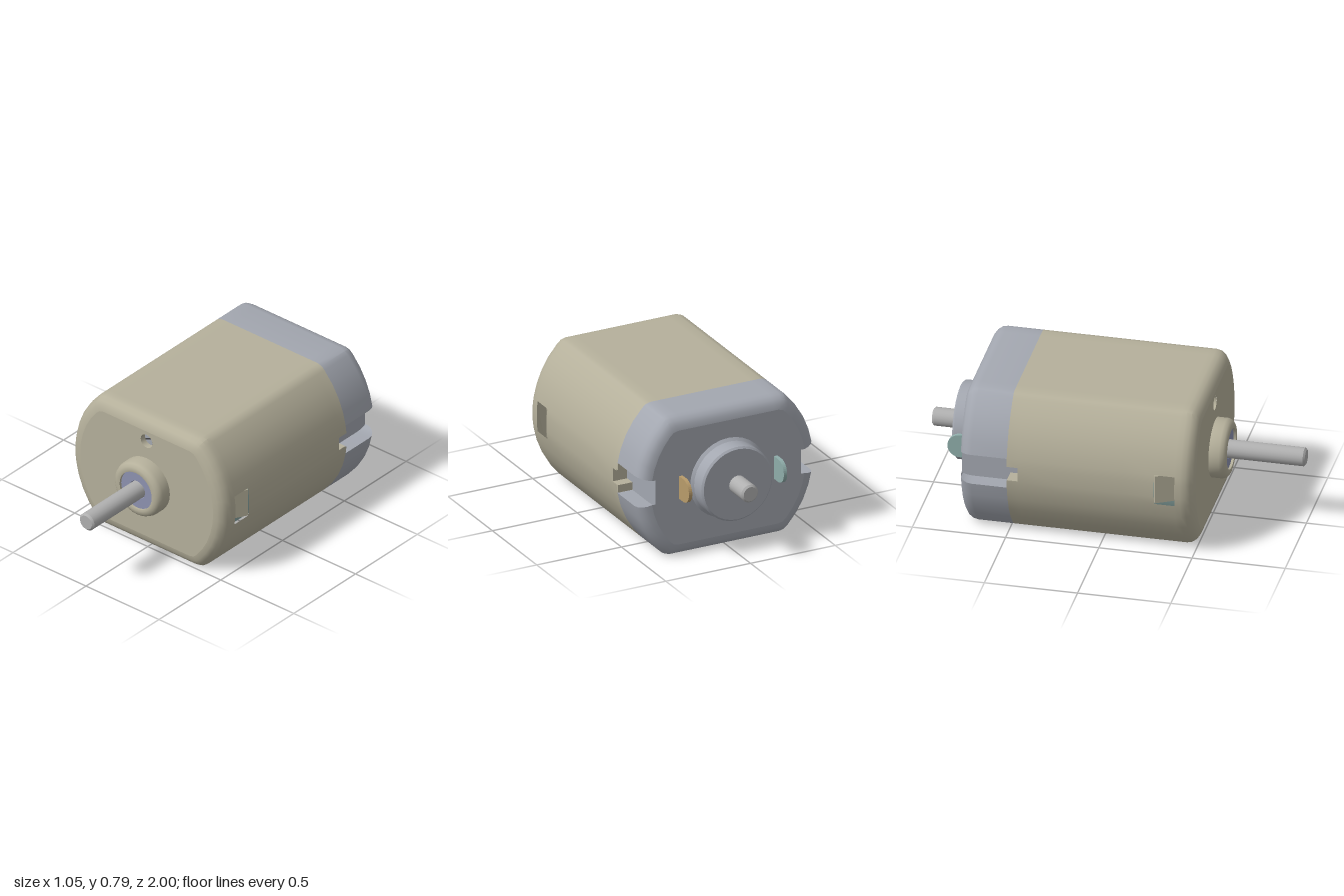
import * as THREE from 'three';
import { toCreasedNormals } from 'three/addons/utils/BufferGeometryUtils.js';

const R = 0.525, H = 0.395, EDGE = 0.07, FLOOR = 0.43;
const mat = (color) => new THREE.MeshStandardMaterial({ color, side: THREE.DoubleSide });
const TAN = mat(0xb5b09b), GREY = mat(0xa3a7b0), STEEL = mat(0xb0b0b0), BUSH = mat(0x8d92b0);
const BRASS = mat(0xb89b6a), TEAL = mat(0x8fadaa), COPPER = mat(0x9a6a50);

// Flat-sided round outline, inset by d; optionally with a notch in each side
const ARC = [-1, -0.8, -0.6, -0.4, -0.21, -0.21, -0.1, 0.1, 0.21, 0.21, 0.4, 0.6, 0.8, 1];
function profile(d, notch) {
  const r = R - d, h = H - d, a = Math.asin((h - 0.025) / r), x = r * Math.cos(a);
  const flat = [[0.1, h], [0.27, h], [x - 0.047, h], [x - 0.02, h - 0.007]];
  const arc = ARC.map((f, i) => {
    const px = r * Math.cos(f * a);
    return [notch && i > 4 && i < 9 ? Math.min(px, FLOOR) : px, r * Math.sin(f * a)];
  });
  const half = [...flat.map(([px, py]) => [px, -py]), ...arc, ...flat.slice().reverse()];
  return [...half, ...half.slice().reverse().map(([px, py]) => [-px, py])];
}

// Skin over rings of [inset, z], from back to front; skip(side, z) leaves openings
function loft(rings, notch, skip) {
  const pos = [], index = [];
  const n = profile(0).length;
  rings.forEach(([d, z]) => profile(d, notch).forEach(([x, y]) => pos.push(x, y, z)));
  for (let i = 0; i < rings.length - 1; i++) {
    for (let j = 0; j < n; j++) {
      const side = j < n / 2 ? j : n - 2 - j;
      if (skip && skip(side, (rings[i][1] + rings[i + 1][1]) / 2)) continue;
      const k = (j + 1) % n, a = i * n, b = a + n;
      index.push(a + j, a + k, b + k, a + j, b + k, b + j);
    }
  }
  const g = new THREE.BufferGeometry();
  g.setAttribute('position', new THREE.Float32BufferAttribute(pos, 3));
  g.setIndex(index);
  return toCreasedNormals(g, 0.5);
}

// Turned part along z from [radius, z] points
function turned(points, sides = 32) {
  const g = new THREE.LatheGeometry(points.map(([r, z]) => new THREE.Vector2(r, z)), sides);
  return toCreasedNormals(g.rotateX(Math.PI / 2), 0.6);
}

function endFace(notch, holes = []) {
  const s = new THREE.Shape(profile(EDGE, notch).map(([x, y]) => new THREE.Vector2(x, y)));
  holes.forEach(([y, r]) => s.holes.push(new THREE.Path().absarc(0, y, r, 0, Math.PI * 2, true)));
  return new THREE.ShapeGeometry(s, 16);
}

const roundEdge = (z0, dir) => [0, 1, 2, 3, 4].map((i) => {
  const t = (i / 4) * Math.PI / 2;
  return [EDGE * (1 - Math.cos(t)), z0 + dir * EDGE * Math.sin(t)];
});

export function createModel() {
  const motor = new THREE.Group();
  motor.name = 'electricMotor';
  const add = (name, geo, material, x = 0, y = 0, z = 0) => {
    const m = new THREE.Mesh(geo, material);
    m.name = name;
    m.position.set(x, y + H, z);
    motor.add(m);
    return m;
  };
  const box = (w, h, d) => new THREE.BoxGeometry(w, h, d);

  // Metal can with side windows, bottom vents and rear slots
  const canRings = [[0, -0.49], [0, -0.43], [0, -0.2], [0, 0.13], [0, 0.3], [0, 0.41], ...roundEdge(0.44, 1)];
  const openings = (side, z) =>
    (side === 0 && z > -0.2 && z < 0.13) ||
    (side >= 9 && side <= 11 && z > 0.3 && z < 0.41) ||
    (side === 10 && z < -0.43);
  add('can', loft(canRings, false, openings), TAN);
  add('canFront', endFace(false, [[0.265, 0.04], [0, 0.11]]), TAN, 0, 0, 0.51);
  add('screwHoleWall', turned([[0.04, -0.04], [0.04, 0]], 20), TAN, 0, 0.265, 0.51);
  add('screwHoleFloor', new THREE.CircleGeometry(0.04, 20), GREY, 0, 0.265, 0.475);
  const slit = add('screwHoleSlit', box(0.075, 0.007, 0.004), mat(0x444448), 0, 0.265, 0.476);
  slit.rotation.z = 0.42;

  // Rear end cap, tucked inside the can
  add('endCap', loft([...roundEdge(-0.68, -1).reverse(), [0, -0.49]], true), GREY);
  add('endCapLip', loft([[0.012, -0.49], [0.012, -0.42]], true), GREY);
  add('endCapBack', endFace(true).rotateY(Math.PI), GREY, 0, 0, -0.75);
  add('rearBoss', turned([[0, -0.855], [0.2, -0.855], [0.21, -0.845], [0.21, -0.765], [0.225, -0.75]]), GREY);

  // Front boss with bushing, and the shaft
  add('frontBoss', turned([[0.16, 0.505], [0.16, 0.565], [0.153, 0.585], [0.138, 0.597], [0.12, 0.6], [0.11, 0.598], [0.11, 0.56]]), TAN);
  add('bushing', turned([[0.112, 0.585], [0.053, 0.585], [0.053, 0.5]]), BUSH);
  add('shaft', turned([[0, -1], [0.04, -1], [0.05, -0.99], [0.05, 0.99], [0.04, 1], [0, 1]], 20), STEEL);

  // Armature seen through the vents
  add('armature', turned([[0, -0.32], [0.33, -0.32], [0.33, 0.25], [0, 0.25]], 24), COPPER);

  // Round-ended terminal blade
  const blade = new THREE.Shape();
  blade.moveTo(0.74, -0.065);
  blade.lineTo(0.795, -0.065);
  blade.absarc(0.795, 0, 0.065, -Math.PI / 2, Math.PI / 2, false);
  blade.lineTo(0.74, 0.065);
  const bladeGeo = new THREE.ExtrudeGeometry(blade, { depth: 0.02, bevelEnabled: false, curveSegments: 10 });
  bladeGeo.translate(0, 0, -0.01).rotateY(Math.PI / 2);

  for (const s of [1, -1]) {
    const label = s > 0 ? 'left' : 'right';
    add(label + 'Terminal', bladeGeo, s > 0 ? BRASS : TEAL, s * 0.28);

    // Curved magnet inside the can wall
    const magnet = new THREE.CylinderGeometry(0.42, 0.42, 0.66, 12, 1, true, s * Math.PI / 2 - 0.65, 1.3);
    add(label + 'Magnet', magnet.rotateX(Math.PI / 2), TEAL, 0, 0, 0.08);

    // Tab bent inwards at the side window
    const tab = add(label + 'WindowTab', box(0.012, 0.16, 0.12), TAN, s * 0.488, 0, 0.355);
    tab.rotation.y = -s * 0.5;

    // Can edge folded into the cap notch
    add(label + 'NotchEnd', box(0.085, 0.17, 0.015), TAN, s * 0.473, 0, -0.425);
    for (const v of [1, -1]) {
      add(label + 'NotchClamp', box(0.085, 0.043, 0.058), TAN, s * 0.473, v * 0.064, -0.461);
    }
  }
  return motor;
}
